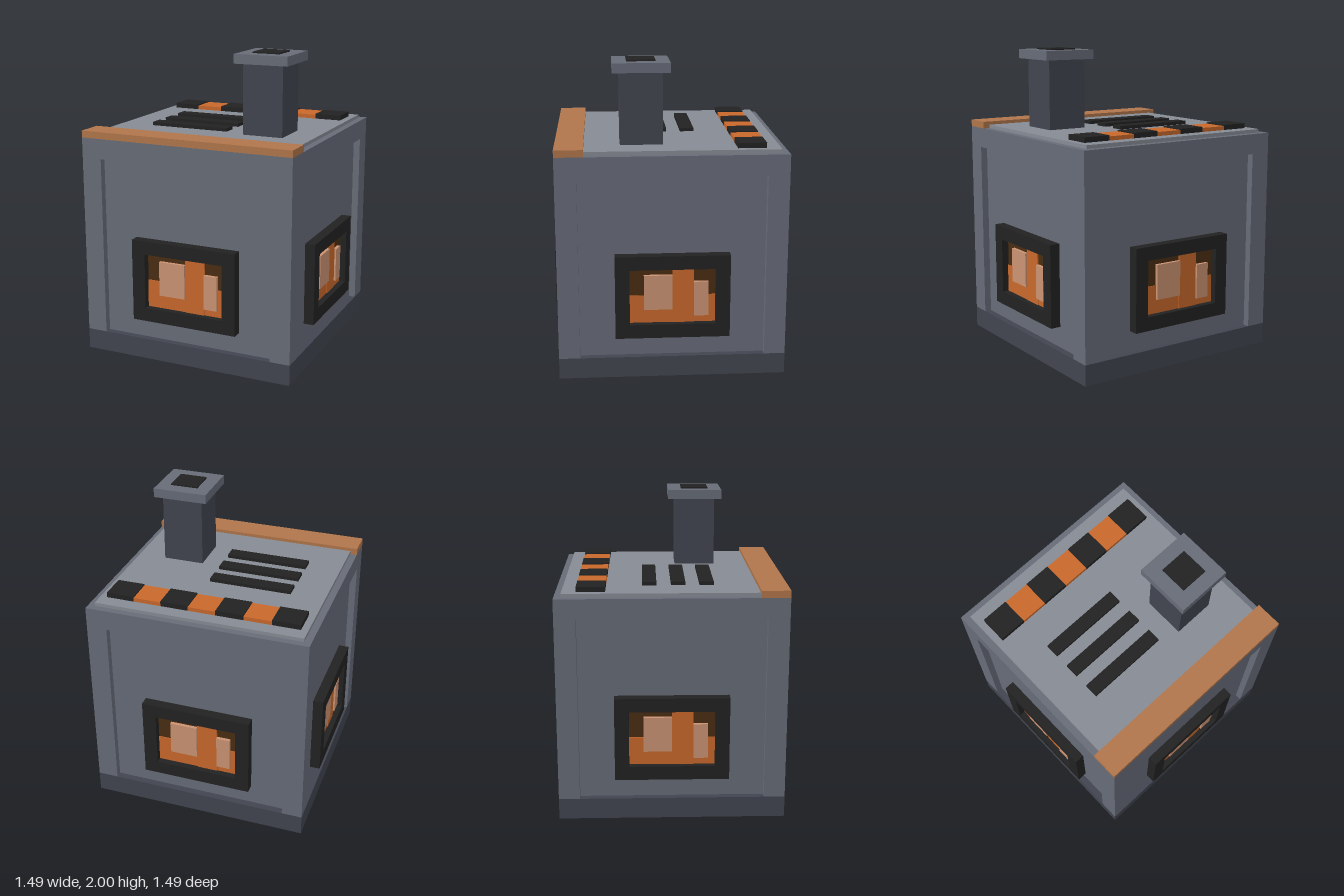
import * as THREE from 'three';

const mat = (name, color) => {
  const m = new THREE.MeshStandardMaterial({ color });
  m.name = name;
  return m;
};

export function createModel() {
  const steel = mat('steel grey', 0x676c78);
  const darkSteel = mat('dark steel', 0x41454f);
  const lightSteel = mat('light steel', 0x878b94);
  const black = mat('black', 0x222222);
  const copper = mat('copper', 0xb0754b);
  const orange = mat('orange', 0xc8682b);
  const brown = mat('dark brown', 0x4a2d12);
  const pale = mat('pale glow', 0xcb9373);

  const model = new THREE.Group();
  model.name = 'furnace';

  // Box given by its limits on each axis
  const box = (parent, name, material, [x0, x1], [y0, y1], [z0, z1]) => {
    const mesh = new THREE.Mesh(new THREE.BoxGeometry(x1 - x0, y1 - y0, z1 - z0), material);
    mesh.position.set((x0 + x1) / 2, (y0 + y1) / 2, (z0 + z1) / 2);
    mesh.name = name;
    parent.add(mesh);
    return mesh;
  };

  // Base, recessed core, top slab and corner posts
  const H = 0.725;
  box(model, 'base', darkSteel, [-H, H], [0, 0.136], [-H, H]);
  box(model, 'core', steel, [-0.68, 0.68], [0.136, 1.32], [-0.68, 0.68]);
  box(model, 'topSlab', steel, [-H, H], [1.318, 1.45], [-H, H]);
  for (const sx of [-1, 1]) for (const sz of [-1, 1]) {
    const post = box(model, 'cornerPost', steel, [0.59, H], [0.136, 1.318], [0.59, H]);
    post.position.x *= sx;
    post.position.z *= sz;
  }

  // Framed fire window, the same on all four sides
  for (let i = 0; i < 4; i++) {
    const win = new THREE.Group();
    win.name = 'fireWindow';
    win.rotation.y = i * Math.PI / 2;
    const frameZ = [0.675, 0.747];
    box(win, 'frameTop', black, [-0.363, 0.363], [0.727, 0.816], frameZ);
    box(win, 'frameBottom', black, [-0.363, 0.363], [0.273, 0.363], frameZ);
    box(win, 'frameRight', black, [-0.363, -0.272], [0.363, 0.727], frameZ);
    box(win, 'frameLeft', black, [0.272, 0.363], [0.363, 0.727], frameZ);
    box(win, 'darkPane', brown, [-0.272, 0.272], [0.545, 0.727], [0.675, 0.7]);
    box(win, 'emberBed', orange, [-0.272, 0.272], [0.363, 0.545], [0.675, 0.705]);
    box(win, 'flame', orange, [0, 0.136], [0.363, 0.727], [0.675, 0.71]);
    box(win, 'largeGlow', pale, [-0.181, 0], [0.454, 0.682], [0.675, 0.722]);
    box(win, 'smallGlow', pale, [0.136, 0.227], [0.409, 0.636], [0.675, 0.722]);
    model.add(win);
  }

  // Top plate and copper front edge
  box(model, 'topPlate', lightSteel, [-0.68, 0.68], [1.45, 1.473], [-0.68, 0.545]);
  box(model, 'copperEdge', copper, [-H, H], [1.45, 1.495], [0.545, H]);

  // Vent slats
  for (const z of [-0.183, 0, 0.181])
    box(model, 'ventSlat', black, [-0.455, 0.09], [1.473, 1.495], [z, z + 0.091]);

  // Warning strip of alternating blocks
  const w = 1.27 / 7;
  for (let i = 0; i < 7; i++) {
    const x = -0.635 + i * w, dark = i % 2 === 0;
    box(model, dark ? 'blackStripe' : 'orangeStripe', dark ? black : orange,
      [x, x + w], [1.473, dark ? 1.506 : 1.499], [-0.59, -0.41]);
  }

  // Chimney with cap and flue opening
  box(model, 'chimney', darkSteel, [0.225, 0.495], [1.473, 1.93], [0.045, 0.317]);
  box(model, 'chimneyCap', steel, [0.18, 0.54], [1.93, 1.991], [0, 0.362]);
  box(model, 'flueOpening', black, [0.27, 0.452], [1.991, 2], [0.09, 0.272]);

  return model;
}
